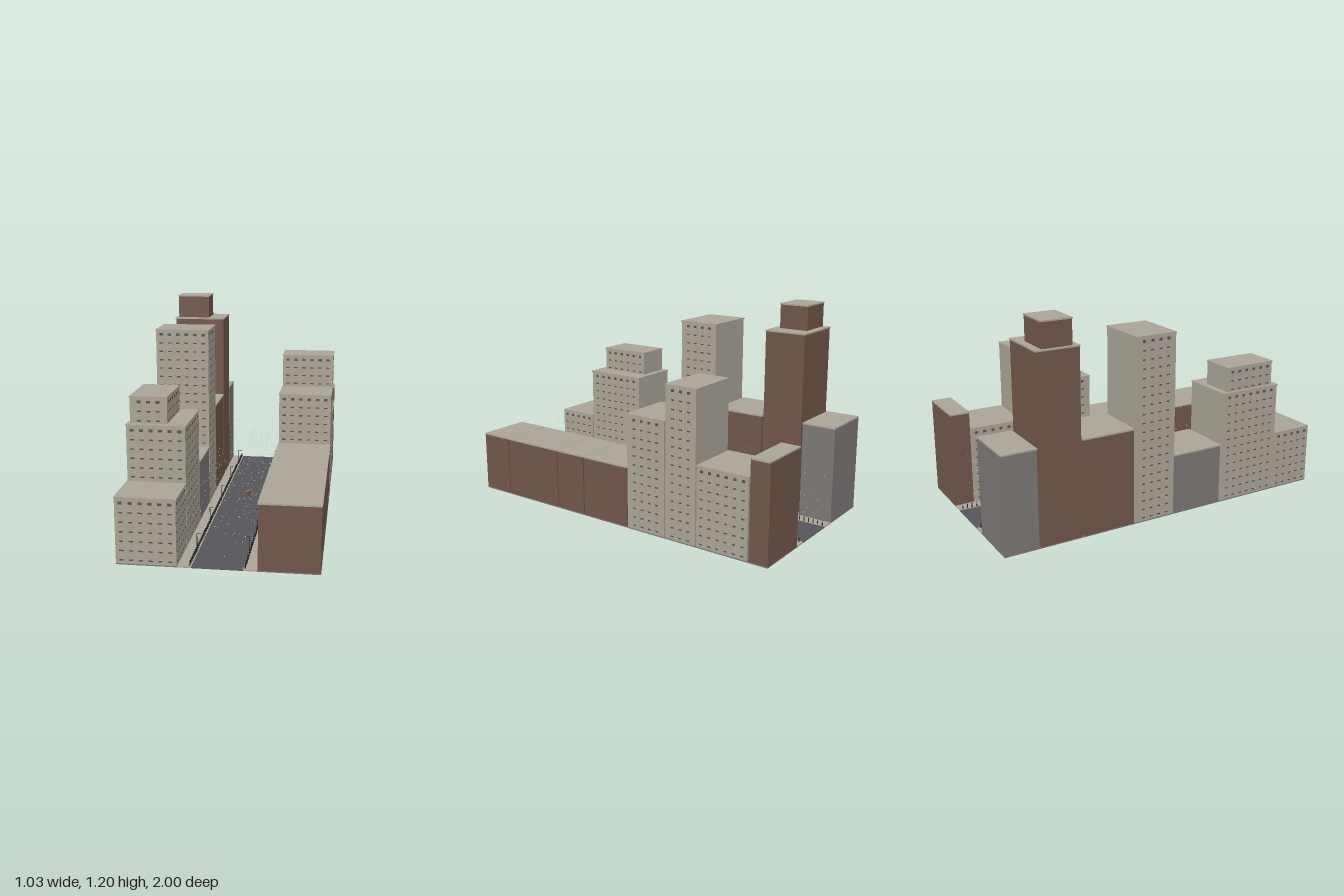
import * as THREE from 'three';
import { mergeGeometries } from 'three/addons/utils/BufferGeometryUtils.js';

const mat = (name, color) => {
  const m = new THREE.MeshStandardMaterial({ color });
  m.name = name;
  return m;
};

// Box geometry given by its lower and upper corners
function span(x0, x1, y0, y1, z0, z1) {
  return new THREE.BoxGeometry(x1 - x0, y1 - y0, z1 - z0)
    .translate((x0 + x1) / 2, (y0 + y1) / 2, (z0 + z1) / 2);
}

function seeded(seed) {
  return () => (seed = (seed * 16807) % 2147483647) / 2147483647;
}

export function createModel() {
  const concrete = mat('concrete', 0xaaa396);
  const brick = mat('brick', 0x70564a);
  const grey = mat('grey stone', 0x7b7775);
  const asphalt = mat('asphalt', 0x55555a);
  const black = mat('black iron', 0x222224);
  const glass = mat('dark glass', 0x55534f);
  const pale = mat('pale flakes', 0xcfc8b8);

  const model = new THREE.Group();
  model.name = 'cityStreet';
  const add = (parent, name, geometry, material) => {
    const mesh = new THREE.Mesh(geometry, material);
    mesh.name = name;
    parent.add(mesh);
    return mesh;
  };

  // Small window slits in a regular grid on the front and both side walls
  function windows(x0, x1, y0, y1, z0, z1) {
    const list = [];
    const rows = Math.floor((y1 - y0 - 0.02) / 0.05) + 1;
    const cols = (a, b) => {
      const n = Math.floor((b - a) / 0.05);
      return Array.from({ length: n }, (_, i) => (a + b) / 2 + (i - (n - 1) / 2) * 0.05);
    };
    for (let r = 0; r < rows; r++) {
      const y = y1 - 0.022 - r * 0.05;
      if (y < y0 + 0.012) continue;
      const h = r === 0 ? 0.014 : 0.007;
      for (const x of cols(x0, x1))
        list.push(new THREE.BoxGeometry(0.021, h, 0.003).translate(x, y, z1));
      for (const z of cols(z0, z1))
        for (const x of [x0, x1])
          list.push(new THREE.BoxGeometry(0.003, h, 0.018).translate(x, y, z));
    }
    return mergeGeometries(list);
  }

  // Walls, overhanging roof slab and, on concrete walls, windows
  function block(parent, prefix, x0, x1, y0, y1, z0, z1, wall) {
    add(parent, prefix + 'Walls', span(x0, x1, y0, y1 - 0.008, z0, z1), wall);
    const o = 0.003;
    add(parent, prefix + 'Roof',
      span(x0 - o, x1 + o, y1 - 0.008, y1, Math.max(z0 - o, -1), Math.min(z1 + o, 1)), concrete);
    if (wall === concrete)
      add(parent, prefix + 'Windows', windows(x0, x1, y0, y1 - 0.008, z0, z1), glass);
  }

  // Rows of buildings: [back z, front z, height, wall, optional upper block [z0, z1, top]]
  const leftRow = [
    [0.804, 1, 0.355, brick], [0.404, 0.796, 0.355, brick],
    [0.204, 0.396, 0.355, brick], [-0.111, 0.196, 0.355, brick],
    [-0.366, -0.119, 0.657, concrete], [-0.565, -0.374, 0.855, concrete],
    [-0.88, -0.573, 0.455, concrete], [-1, -0.889, 0.555, brick],
  ];
  const rightRow = [
    [0.744, 1, 0.355, concrete], [0.352, 0.736, 0.657, concrete, [0.387, 0.7, 0.8]],
    [0.03, 0.338, 0.355, grey], [-0.222, 0.022, 1.055, concrete],
    [-0.54, -0.236, 0.555, brick], [-0.795, -0.553, 1.055, brick, [-0.757, -0.587, 1.197]],
    [-1, -0.805, 0.555, grey],
  ];
  const row = (list, x0, x1, name) => {
    list.forEach(([z0, z1, h, wall, upper], i) => {
      const building = new THREE.Group();
      building.name = name + (i + 1);
      block(building, 'main', x0, x1, 0.006, h, z0, z1, wall);
      if (upper) block(building, 'upper', -0.5, -0.303, h, upper[2], upper[0], upper[1], wall);
      model.add(building);
    });
  };
  row(leftRow, 0.203, 0.513, 'leftBuilding');
  row(rightRow, -0.513, -0.203, 'rightBuilding');

  // Ground: road, pavements and the footings under the buildings
  add(model, 'road', span(-0.13, 0.13, 0, 0.004, -1, 1), asphalt);
  for (const s of [-1, 1]) {
    const side = s > 0 ? 'left' : 'right';
    const strip = (a, b, h) => span(Math.min(s * a, s * b), Math.max(s * a, s * b), 0, h, -1, 1);
    add(model, side + 'Pavement', strip(0.13, 0.2, 0.007), concrete);
    add(model, side + 'Footing', strip(0.2, 0.514, 0.006), grey);

    // Bollards along the kerb
    const posts = [];
    for (let z = -0.98; z < 0.99; z += 0.028)
      posts.push(new THREE.CylinderGeometry(0.002, 0.004, 0.026, 6).translate(s * 0.139, 0.02, z));
    add(model, side + 'Bollards', mergeGeometries(posts), black);

    // Street lamps with an arm over the road
    for (let z = -0.8; z < 0.9; z += 0.4) {
      const lamp = new THREE.Group();
      lamp.name = side + 'StreetLamp';
      add(lamp, 'pole', new THREE.CylinderGeometry(0.0015, 0.002, 0.1, 6).translate(0, 0.055, 0), black);
      add(lamp, 'arm', new THREE.BoxGeometry(0.022, 0.002, 0.002).translate(-s * 0.01, 0.104, 0), black);
      add(lamp, 'lampHead', new THREE.BoxGeometry(0.007, 0.003, 0.005).translate(-s * 0.019, 0.102, 0), pale);
      lamp.position.set(s * 0.136, 0, z);
      model.add(lamp);
    }

    // Small signs hung in front of the walls
    for (const z of [-0.45, 0.15, 0.6])
      add(model, side + 'Sign', new THREE.BoxGeometry(0.012, 0.02, 0.004).translate(s * 0.178, 0.124, z), brick);
  }

  // Car in the middle of the road
  const car = new THREE.Group();
  car.name = 'car';
  add(car, 'body', new THREE.BoxGeometry(0.028, 0.009, 0.086).translate(0, 0.013, 0), brick);
  add(car, 'cabin', new THREE.BoxGeometry(0.022, 0.008, 0.04).translate(0, 0.021, -0.004), brick);
  add(car, 'windscreens', new THREE.BoxGeometry(0.02, 0.005, 0.042).translate(0, 0.021, -0.004), glass);
  for (const x of [-0.013, 0.013])
    for (const z of [-0.027, 0.027])
      add(car, 'wheel', new THREE.CylinderGeometry(0.006, 0.006, 0.005, 10)
        .rotateZ(Math.PI / 2).translate(x, 0.01, z), black);
  car.position.z = -0.145;
  model.add(car);

  // Flakes drifting in the air above the street
  const rnd = seeded(71);
  const flakes = [];
  for (let i = 0; i < 350; i++)
    flakes.push(new THREE.BoxGeometry(0.003, 0.004, 0.003)
      .translate((rnd() - 0.5) * 0.36, 0.05 + rnd() * 0.34, (rnd() - 0.5) * 1.98));
  add(model, 'flakes', mergeGeometries(flakes), pale);

  return model;
}
